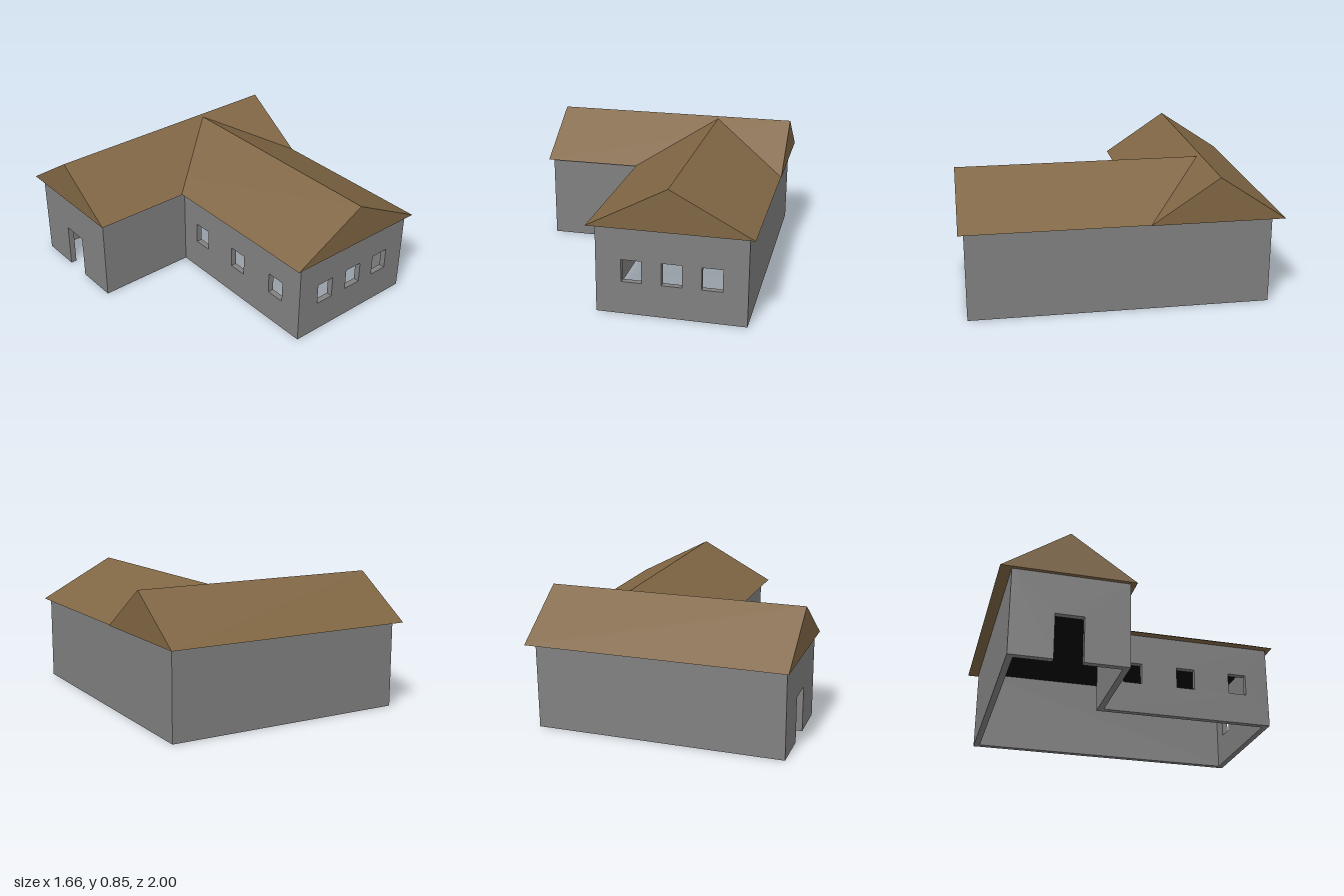
import * as THREE from 'three';

const wallMat = new THREE.MeshStandardMaterial({ color: 0x808080 });
const roofMat = new THREE.MeshStandardMaterial({ color: 0x806644 });
const ceilingMat = new THREE.MeshStandardMaterial({ color: 0x050505, side: THREE.DoubleSide });

const T = 0.04;   // wall thickness
const H = 0.562;  // wall height
const SILL = 0.21, LINTEL = 0.353, DOOR = 0.297;

const shapeOf = pts => new THREE.Shape(pts.map(p => new THREE.Vector2(...p)));

function extrude(name, shape, depth, material) {
  const mesh = new THREE.Mesh(
    new THREE.ExtrudeGeometry(shape, { depth, bevelEnabled: false }), material);
  mesh.name = name;
  return mesh;
}

// Wall whose outer face runs from a to b (x, z), outside on the right of travel.
// Openings are [start, end] distances along the wall.
function wall(name, a, b, { windows = [], door = null, extra = 0 } = {}) {
  const dx = b[0] - a[0], dz = b[1] - a[1];
  const len = Math.hypot(dx, dz);
  const L = len + extra;
  const notch = door ? [[door[0], 0], [door[0], DOOR], [door[1], DOOR], [door[1], 0]] : [];
  const shape = shapeOf([[0, 0], ...notch, [L, 0], [L, H], [0, H]]);
  for (const [s, e] of windows) {
    shape.holes.push(new THREE.Path(
      [[s, SILL], [s, LINTEL], [e, LINTEL], [e, SILL]].map(p => new THREE.Vector2(...p))));
  }
  const mesh = extrude(name, shape, T, wallMat);
  mesh.rotation.y = Math.atan2(-dz, dx);
  mesh.position.set(a[0] + (dz / len) * T, 0, a[1] - (dx / len) * T);
  return mesh;
}

export function createModel() {
  const house = new THREE.Group();
  house.name = 'house';

  // L-shaped wall outline
  const x0 = -0.805, xi = -0.138, x1 = 0.79;
  const z0 = -0.925, zi = -0.193, z1 = 0.965;

  const walls = new THREE.Group();
  walls.name = 'walls';
  walls.add(
    wall('frontWall', [xi, z1], [x1, z1],
      { windows: [0.02, 0.268, 0.512].map(x => [x - xi, x + 0.126 - xi]) }),
    wall('longSideWall', [x1, z1], [x1, z0]),
    wall('backWall', [x1, z0], [x0, z0]),
    wall('doorWall', [x0, z0], [x0, zi], { door: [0.27, 0.45] }),
    wall('courtyardBackWall', [x0, zi], [xi, zi], { extra: T }),
    wall('courtyardSideWall', [xi, zi], [xi, z1],
      { windows: [-0.06, 0.31, 0.68].map(z => [z - zi, z + 0.126 - zi]) })
  );
  house.add(walls);

  // Dark ceiling over both wings
  const e = 0.02;
  const ceiling = new THREE.Mesh(new THREE.ShapeGeometry(shapeOf([
    [x0 + e, z0 + e], [x1 - e, z0 + e], [x1 - e, z1 - e],
    [xi + e, z1 - e], [xi + e, zi - e], [x0 + e, zi - e]])), ceilingMat);
  ceiling.name = 'ceiling';
  ceiling.rotation.x = Math.PI / 2;
  ceiling.position.y = 0.555;
  house.add(ceiling);

  // Gable roof of the back wing, ridge along x
  const backRoof = extrude('backRoof',
    shapeOf([[0.155, 0.562], [0.998, 0.562], [0.577, 0.845]]), 1.658, roofMat);
  backRoof.rotation.y = Math.PI / 2;
  backRoof.position.x = -0.83;
  house.add(backRoof);

  // Gable roof of the front wing, running into the back slope
  const frontRoof = extrude('frontRoof',
    shapeOf([[-0.188, 0.564], [0.825, 0.564], [0.315, 0.832]]), 1.568, roofMat);
  frontRoof.position.z = -0.57;
  house.add(frontRoof);

  return house;
}
